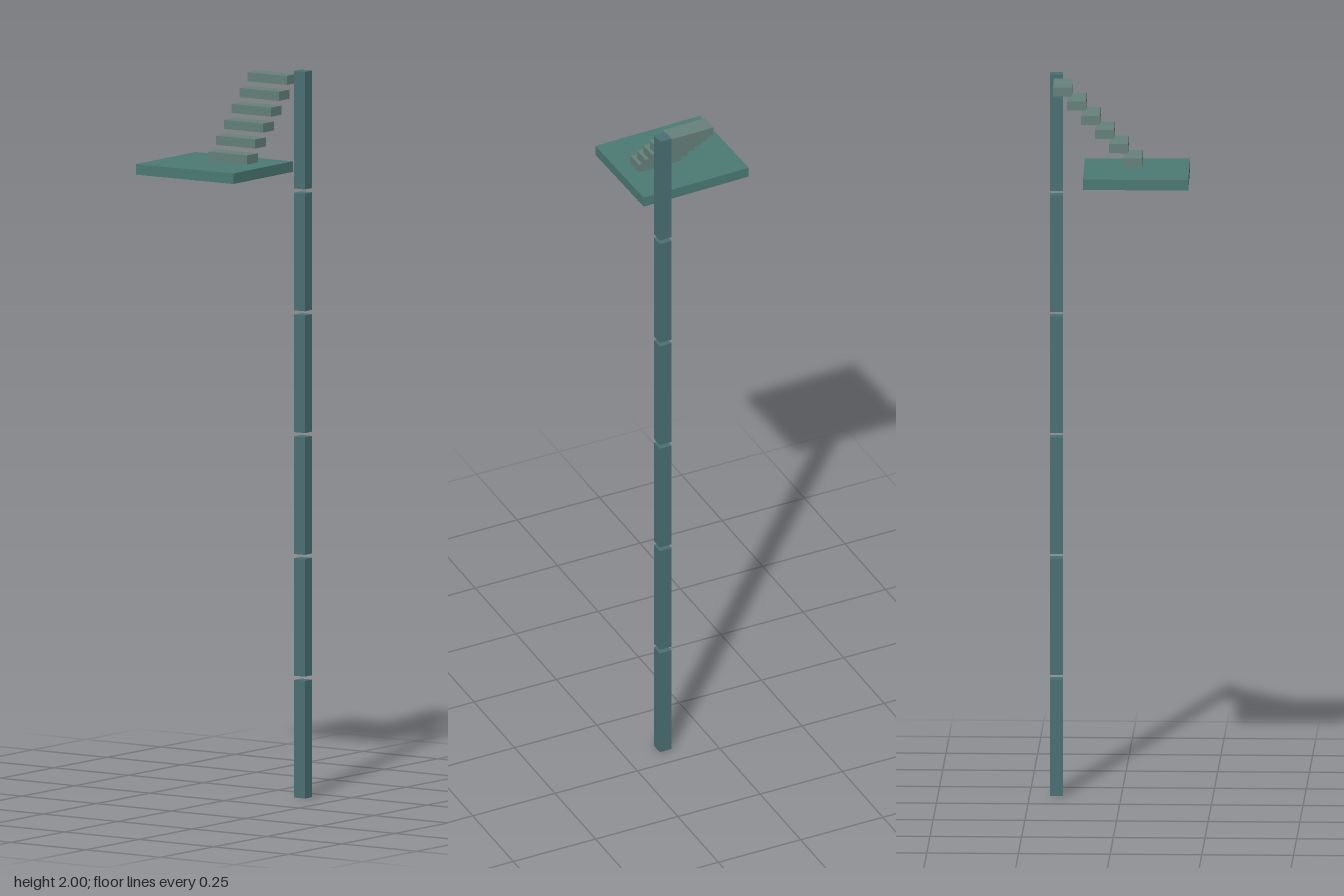
import * as THREE from 'three';

const TURN = 0.02; // the whole structure is turned slightly about y

function block(name, size, position, material) {
  const mesh = new THREE.Mesh(new THREE.BoxGeometry(...size), material);
  mesh.name = name;
  mesh.position.set(...position);
  mesh.rotation.y = TURN;
  return mesh;
}

export function createModel() {
  const model = new THREE.Group();
  model.name = 'stairPlatform';

  const postMaterial = new THREE.MeshStandardMaterial({ color: 0x4a7074 });
  const platformMaterial = new THREE.MeshStandardMaterial({ color: 0x4c7a74 });
  const stepMaterial = new THREE.MeshStandardMaterial({ color: 0x66817a });

  // Tall post: six stacked segments with small gaps
  const post = new THREE.Group();
  post.name = 'post';
  const segment = 0.3235, pitch = 0.3353;
  for (let i = 0; i < 6; i++) {
    post.add(block('postSegment', [0.0355, segment, 0.0355],
      [0.137, segment / 2 + i * pitch, -0.177], postMaterial));
  }
  model.add(post);

  // Flat landing
  model.add(block('platform', [0.322, 0.029, 0.287], [-0.001, 1.7465, 0.046], platformMaterial));

  // Floating steps climbing towards the back
  const stairs = new THREE.Group();
  stairs.name = 'stairs';
  for (let i = 0; i < 6; i++) {
    stairs.add(block('step', [0.13, 0.025, 0.0515],
      [0.053 - i * 0.0007, 1.78 + i * 0.0393, 0.0345 - i * 0.0382], stepMaterial));
  }
  model.add(stairs);

  return model;
}
